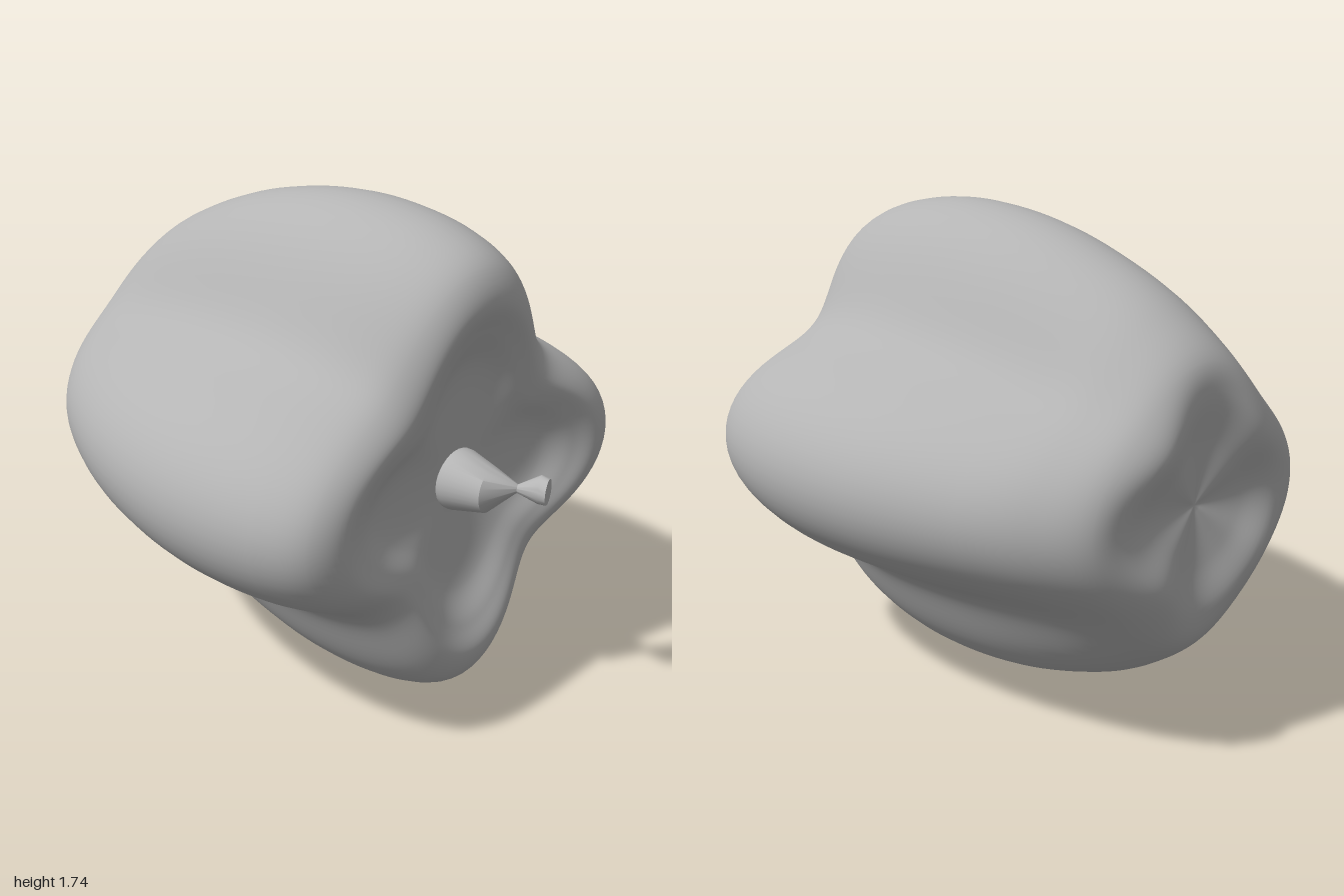
import * as THREE from 'three';
import { mergeVertices, toCreasedNormals } from 'three/addons/utils/BufferGeometryUtils.js';

const CENTRE_Y = 0.873;

// Closed skin over rings that run from front (+z) to back; at(i, angle) gives a point.
function skin(rows, sides, at) {
  const pos = [], index = [];
  for (let i = 0; i <= rows; i++)
    for (let j = 0; j < sides; j++) pos.push(...at(i, (j / sides) * Math.PI * 2));
  for (let i = 0; i < rows; i++)
    for (let j = 0; j < sides; j++) {
      const k = (j + 1) % sides;
      const a = i * sides + j, b = i * sides + k, c = a + sides, d = b + sides;
      index.push(a, c, b, b, c, d);
    }
  const g = new THREE.BufferGeometry();
  g.setAttribute('position', new THREE.Float32BufferAttribute(pos, 3));
  g.setIndex(index);
  const merged = mergeVertices(g, 1e-5);
  merged.computeVertexNormals();
  return merged;
}

const profile = (pts) => new THREE.CatmullRomCurve3(pts.map(([r, z]) => new THREE.Vector3(r, 0, z)));

// Profiles (radius, z) along the crest of a lobe and along the groove between lobes
const crest = profile([
  [0, 0.68], [0.2, 0.69], [0.4, 0.71], [0.52, 0.765], [0.62, 0.8], [0.73, 0.755], [0.815, 0.6],
  [0.87, 0.24], [0.825, -0.2], [0.695, -0.6], [0.585, -0.8], [0.46, -0.94], [0.36, -0.965],
  [0.2, -0.94], [0, -0.92],
]);
const groove = profile([
  [0, 0.68], [0.15, 0.69], [0.27, 0.715], [0.36, 0.75], [0.44, 0.76], [0.53, 0.7], [0.59, 0.56],
  [0.63, 0.24], [0.6, -0.2], [0.53, -0.6], [0.48, -0.8], [0.41, -0.94], [0.31, -1.0],
  [0.17, -0.96], [0, -0.92],
]);

function bodyGeometry() {
  const rows = 112;
  return skin(rows, 128, (i, a) => {
    const p = groove.getPoint(i / rows).lerp(crest.getPoint(i / rows), 0.5 + 0.5 * Math.cos(4 * a));
    return [p.x * Math.cos(a), p.x * Math.sin(a), p.z];
  });
}

// Stem rings from tip to base: x, y, z, radius, tilt towards +x
const stemRings = [
  [0.093, 0.025, 0.979, 0, 0.4],
  [0.093, 0.025, 0.979, 0.043, 0.4],
  [0.096, 0.022, 0.945, 0.047, 0.45],
  [0.06, 0.015, 0.885, 0.014, 0.45],
  [0.01, 0.0, 0.815, 0.076, 0.2],
  [0, 0, 0.7, 0.105, 0],
  [0, 0, 0.66, 0.105, 0],
  [0, 0, 0.66, 0, 0],
];

function stemGeometry() {
  const g = skin(stemRings.length - 1, 32, (i, a) => {
    const [x, y, z, r, tilt] = stemRings[i];
    const u = r * Math.cos(a);
    return [x + u * Math.cos(tilt), y + r * Math.sin(a), z - u * Math.sin(tilt)];
  });
  return toCreasedNormals(g, 0.6);
}

export function createModel() {
  const group = new THREE.Group();
  group.name = 'bellPepper';
  const grey = new THREE.MeshStandardMaterial({ color: 0xb4b4b4 });
  grey.name = 'grey';
  const parts = { body: bodyGeometry(), stem: stemGeometry() };
  for (const [name, geometry] of Object.entries(parts)) {
    const mesh = new THREE.Mesh(geometry, grey);
    mesh.name = name;
    mesh.position.y = CENTRE_Y;
    group.add(mesh);
  }
  return group;
}
